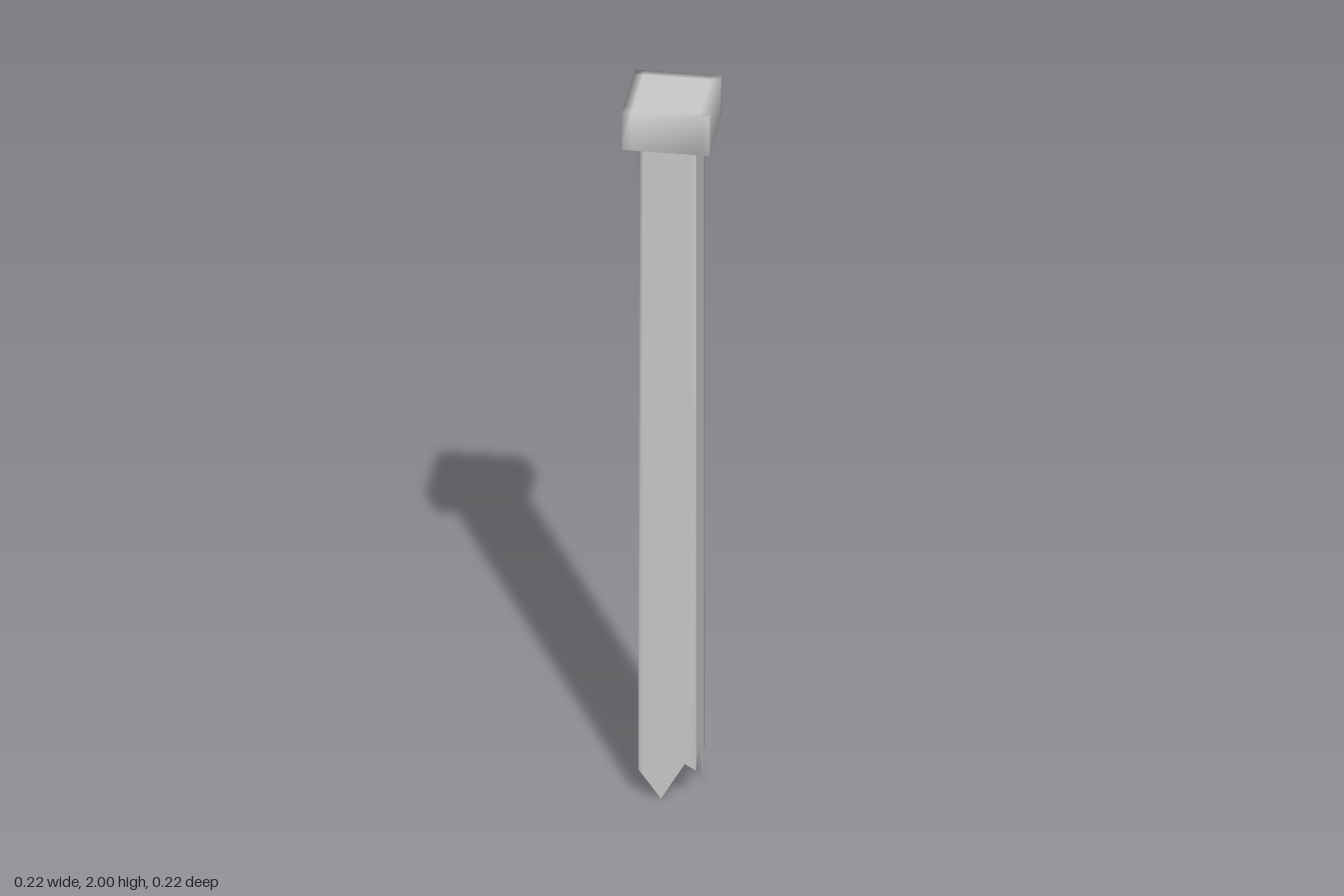
import * as THREE from 'three';
import { mergeVertices } from 'three/addons/utils/BufferGeometryUtils.js';

const material = new THREE.MeshStandardMaterial({ color: 0xcccccc, side: THREE.DoubleSide });

// Square cap: sharp silhouette, support loops near the edges, smooth normals
function capGeometry(half, bottom, top, inset) {
  const geo = new THREE.BoxGeometry(3, top - bottom, 3, 3, 1, 3);
  geo.translate(0, (top + bottom) / 2, 0);
  const p = geo.attributes.position;
  const place = v => Math.sign(v) * (Math.abs(v) > 1 ? half : half - inset);
  for (let i = 0; i < p.count; i++) p.setXYZ(i, place(p.getX(i)), p.getY(i), place(p.getZ(i)));
  geo.deleteAttribute('uv');
  geo.deleteAttribute('normal');
  const welded = mergeVertices(geo);
  welded.computeVertexNormals();
  return welded;
}

// Open square tube whose lower rim is broken into splinters
function shaftGeometry(top) {
  const lo = -0.075, hi = 0.072, zLo = -0.071, zHi = 0.075;
  // Each side: start corner, height there, then jag points [x, z, y]
  const rim = [
    [lo, zHi, 0.08], [-0.017, zHi, 0], [0.044, zHi, 0.105],    // front
    [hi, zHi, 0.088], [hi, 0.016, 0.14], [hi, -0.043, 0.006],  // +x side
    [hi, zLo, 0.082], [0.043, zLo, 0.15], [-0.014, zLo, 0.04], [-0.058, zLo, 0.09], // back
    [lo, zLo, 0.075], [lo, -0.052, 0.02], [lo, 0.005, 0.15],   // -x side
  ];
  const isCorner = ([x, z]) => (x === lo || x === hi) && (z === zLo || z === zHi);

  // Support points beside each corner keep the shaded edge narrow
  const ring = [];
  rim.forEach((a, i) => {
    const b = rim[(i + 1) % rim.length];
    const length = Math.hypot(b[0] - a[0], b[1] - a[1]);
    const mix = t => a.map((v, k) => v + (b[k] - v) * t);
    const t = Math.min(0.012 / length, 0.5);
    ring.push(a);
    if (isCorner(a)) ring.push(mix(t));
    if (isCorner(b)) ring.push(mix(1 - t));
  });

  const positions = [], index = [], n = ring.length;
  ring.forEach(([x, z, y], i) => {
    positions.push(x, y, z, x, top, z);
    const a = 2 * i, b = 2 * ((i + 1) % n);
    index.push(a, b, b + 1, a, b + 1, a + 1);
  });
  const geo = new THREE.BufferGeometry();
  geo.setAttribute('position', new THREE.Float32BufferAttribute(positions, 3));
  geo.setIndex(index);
  geo.computeVertexNormals();
  return geo;
}

export function createModel() {
  const group = new THREE.Group();
  group.name = 'brokenPost';
  const add = (name, geometry) => {
    const mesh = new THREE.Mesh(geometry, material);
    mesh.name = name;
    group.add(mesh);
  };
  add('cap', capGeometry(0.111, 1.89, 2, 0.025));
  add('splinteredShaft', shaftGeometry(1.89));
  return group;
}
